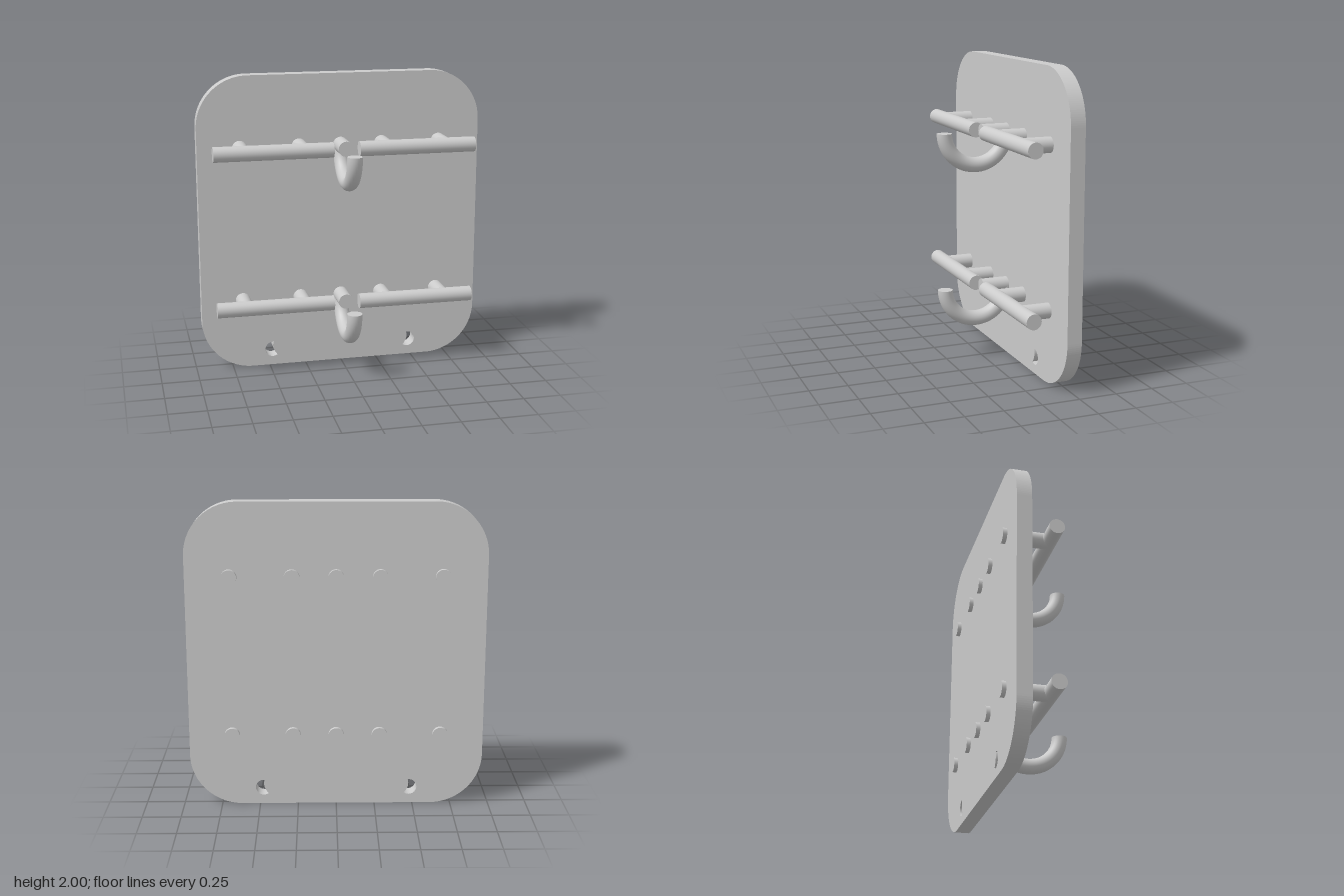
import * as THREE from 'three';

const ROD = 0.05;
const ROWS = [1.525, 0.48];
const material = new THREE.MeshStandardMaterial({ color: 0xcccccc });

function addMesh(parent, name, geometry) {
  const mesh = new THREE.Mesh(geometry, material);
  mesh.name = name;
  parent.add(mesh);
  return mesh;
}

// Round hole with a curved bite taken out of its inner side
function crescentHole(side) {
  const circle = new THREE.Path();
  circle.absarc(-0.477, 0.112, 0.052, Math.PI * 0.46, Math.PI * 1.705, false);
  const end = circle.getPoint(1), start = circle.getPoint(0);
  circle.quadraticCurveTo(-0.487, 0.118, start.x, start.y);
  const points = circle.getPoints(16).map((p) => new THREE.Vector2(p.x * side, p.y));
  return new THREE.Path(points);
}

// Upright board with large rounded corners
function boardGeometry() {
  const w = 0.955, h = 2, r = 0.34;
  const shape = new THREE.Shape();
  shape.absarc(w - r, r, r, -Math.PI / 2, 0, false);
  shape.absarc(w - r, h - r, r, 0, Math.PI / 2, false);
  shape.absarc(-w + r, h - r, r, Math.PI / 2, Math.PI, false);
  shape.absarc(-w + r, r, r, Math.PI, Math.PI * 1.5, false);
  shape.closePath();
  shape.holes.push(crescentHole(1), crescentHole(-1));
  return new THREE.ExtrudeGeometry(shape, { depth: 0.097, bevelEnabled: false, curveSegments: 20 })
    .translate(0, 0, -0.28);
}

// Half-ring hook, open at the top
function hookGeometry() {
  return new THREE.TorusGeometry(0.215, ROD, 24, 40, Math.PI)
    .rotateZ(Math.PI)
    .rotateY(Math.PI / 2);
}

export function createModel() {
  const model = new THREE.Group();
  model.name = 'wallRack';
  addMesh(model, 'board', boardGeometry());

  ROWS.forEach((y) => {
    const row = new THREE.Group();
    row.name = 'hangerRow';
    row.position.y = y;
    model.add(row);

    // Pegs pass through the board and stand proud at the back
    for (const x of [-0.675, -0.28, 0, 0.28, 0.675]) {
      const peg = new THREE.CylinderGeometry(ROD, ROD, 0.307, 32).rotateX(Math.PI / 2);
      addMesh(row, 'peg', peg).position.set(x, 0, -0.1535);
    }

    // Horizontal rails, one each side of the hook
    for (const side of [-1, 1]) {
      const rail = new THREE.CylinderGeometry(ROD, ROD, 0.783, 32).rotateZ(Math.PI / 2);
      addMesh(row, side > 0 ? 'leftRail' : 'rightRail', rail).position.x = side * 0.4785;
    }

    // Centre hook with its flat ends
    const hook = new THREE.Group();
    hook.name = 'hook';
    hook.position.z = 0.04;
    row.add(hook);
    addMesh(hook, 'hookBend', hookGeometry());
    for (const z of [-0.215, 0.215]) {
      const cap = new THREE.CircleGeometry(ROD, 24).rotateX(-Math.PI / 2);
      addMesh(hook, 'hookEnd', cap).position.z = z;
    }
  });

  return model;
}
